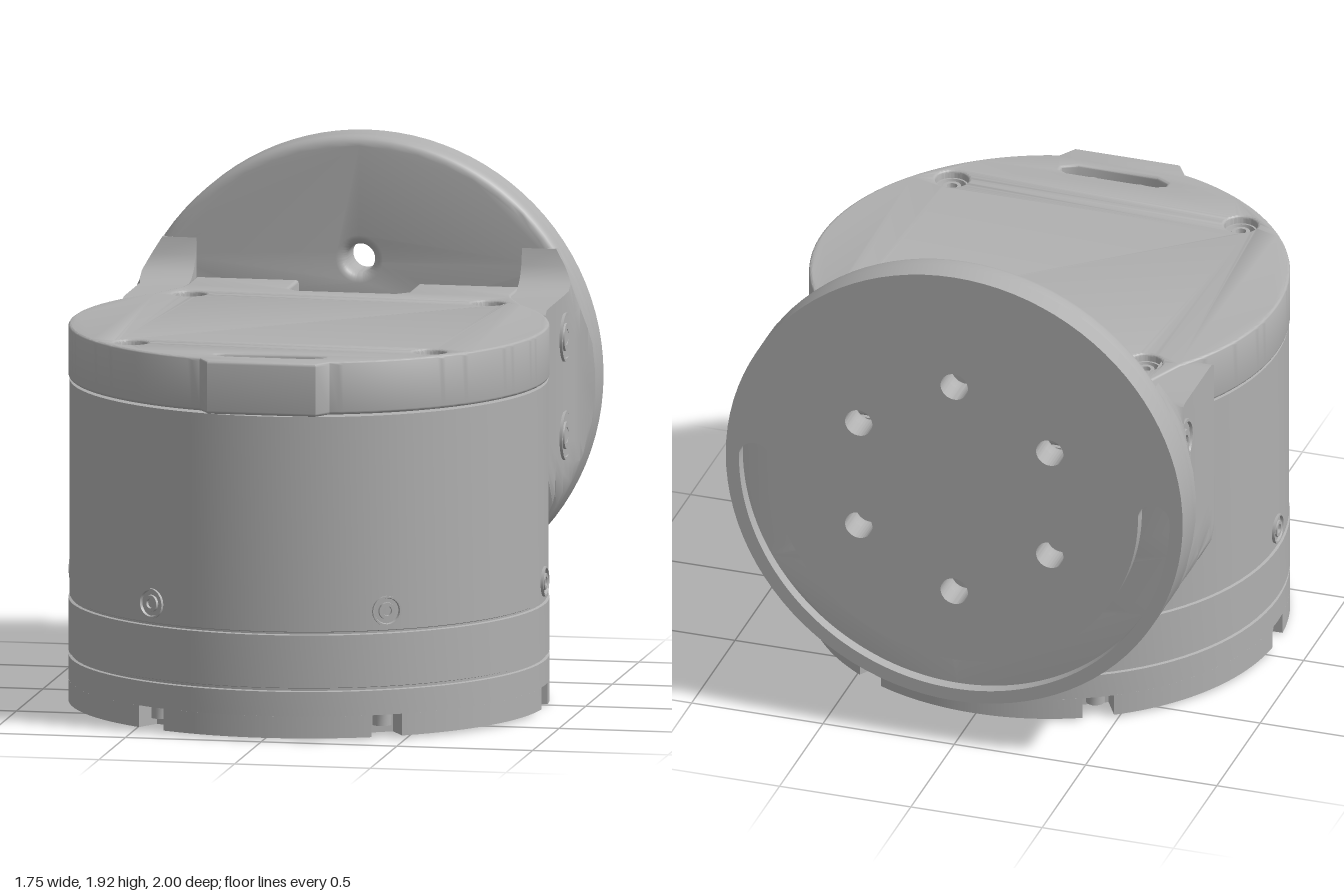
import * as THREE from 'three';
import { toCreasedNormals } from 'three/addons/utils/BufferGeometryUtils.js';

const R = 0.87;          // radius of drum and flange
const DRUM_Z = 0.1;      // drum axis
const HUB_Y = 1.05;      // flange axis
const UP = new THREE.Vector3(0, 1, 0);

export function createModel() {
  const grey = new THREE.MeshStandardMaterial({ color: 0xb0b0b0 });
  grey.name = 'satin grey';
  const model = new THREE.Group();
  model.name = 'swivelJoint';

  const add = (name, geometry, x = 0, y = 0, z = 0) => {
    const mesh = new THREE.Mesh(toCreasedNormals(geometry, 0.6), grey);
    mesh.name = name;
    mesh.position.set(x, y, z);
    model.add(mesh);
    return mesh;
  };
  const lathe = (pts, segments = 96) =>
    new THREE.LatheGeometry(pts.map(([r, y]) => new THREE.Vector2(r, y)), segments);
  const circle = (x, y, r) => new THREE.Path().absarc(x, y, r, 0, Math.PI * 2, true);
  // Extrusion filling 0..depth, with an optional bevel inside the outline
  const slab = (shape, depth, bevel = 0) => new THREE.ExtrudeGeometry(shape, {
    depth: depth - 2 * bevel, curveSegments: 48, bevelEnabled: bevel > 0,
    bevelThickness: bevel, bevelSize: bevel, bevelOffset: -bevel, bevelSegments: 4,
  }).translate(0, 0, bevel);
  // Socket screw seated in a round rim, facing along dir
  const screw = (name, r, x, y, z, dir = UP) => {
    const g = lathe([[r, -0.06], [r, 0], [r * 0.88, 0], [r * 0.76, -0.025], [r * 0.6, -0.025],
      [r * 0.55, 0], [r * 0.32, 0], [r * 0.26, -0.035], [0, -0.035]], 24);
    add(name, g, x, y, z).quaternion.setFromUnitVectors(UP, dir);
  };

  // Drum with seam grooves and an open recess underneath
  add('drum', lathe([
    [0, 0.42], [0.64, 0.42], [0.64, 0.17], [0.6, 0.14], [0.6, 0.09], [R, 0.09],
    [R, 0.18], [0.86, 0.183], [0.86, 0.192], [R, 0.195], [R, 0.387], [0.86, 0.39],
    [0.86, 0.397], [0.866, 0.4], [0.866, 1.187], [0.85, 1.19], [0, 1.19],
  ]), 0, 0, DRUM_Z);

  // Base ring with six edge notches and six bolt holes
  const ring = new THREE.Shape();
  const step = Math.PI / 3, half = 0.058, cut = Math.asin(half / R), inner = 0.77;
  for (let k = 0; k < 6; k++) {
    const a = k * step, b = a + step;
    ring.absarc(0, 0, R, a + cut, b - cut, false);
    for (const s of [-1, 1]) {
      ring.lineTo(inner * Math.cos(b) - s * half * Math.sin(b),
        inner * Math.sin(b) + s * half * Math.cos(b));
    }
    const m = a + step / 2;
    ring.holes.push(circle(0.73 * Math.cos(m), 0.73 * Math.sin(m), 0.032));
    add('notchBolt', new THREE.CylinderGeometry(0.035, 0.035, 0.05, 16),
      0.815 * Math.cos(a), 0.07, DRUM_Z + 0.815 * Math.sin(a));
  }
  ring.holes.push(circle(0, 0, 0.6));
  add('baseRing', slab(ring, 0.08).rotateX(-Math.PI / 2), 0, 0.01, DRUM_Z);
  const lip = new THREE.Shape().absarc(0, 0, 0.64, 0, Math.PI * 2, false);
  lip.holes.push(circle(0, 0, 0.6));
  add('baseLip', slab(lip, 0.02).rotateX(-Math.PI / 2), 0, 0, DRUM_Z);

  // Screws round the drum
  for (let k = 0; k < 4; k++) {
    const d = new THREE.Vector3(Math.cos(k * step), 0, Math.sin(k * step));
    screw('drumScrew', 0.055, 0.875 * d.x, 0.47, DRUM_Z + 0.875 * d.z, d);
  }

  // Lid: round plate with a front tab, a rear block and a rear notch
  const lid = new THREE.Shape();
  lid.moveTo(-0.2, -1).lineTo(0.2, -1).lineTo(0.24, -0.935);
  lid.absarc(0, -DRUM_Z, R, -1.255, 0.674, false);
  for (const [x, y] of [[0.61, 0.6], [0.6, 0.65], [0.6, 0.83], [0.22, 0.83], [0.22, 0.64],
    [0.18, 0.6], [-0.18, 0.6], [-0.22, 0.64], [-0.22, 0.83], [-0.6, 0.83], [-0.6, 0.65],
    [-0.61, 0.6]]) lid.lineTo(x, y);
  lid.absarc(0, -DRUM_Z, R, Math.PI - 0.674, Math.PI + 1.255, false);
  lid.lineTo(-0.24, -0.935);
  // Cable slot in the tab
  const slot = new THREE.Path();
  slot.moveTo(-0.15, -0.88).lineTo(-0.2, -0.85).lineTo(-0.2, -0.83).lineTo(-0.17, -0.815);
  slot.lineTo(0.17, -0.815).lineTo(0.2, -0.83).lineTo(0.2, -0.85).lineTo(0.15, -0.88);
  lid.holes.push(slot);
  for (const x of [-0.55, 0.55]) {
    for (const z of [-0.46, 0.64]) {
      lid.holes.push(circle(x, -z, 0.06));
      screw('lidScrew', 0.06, x, 1.36, z);
    }
    add('slotPin', new THREE.CylinderGeometry(0.03, 0.03, 0.1, 16), x * 0.16, 1.3, 0.85);
  }
  add('lid', slab(lid, 0.195, 0.012).rotateX(-Math.PI / 2), 0, 1.195, 0);
  add('slotFloor', new THREE.BoxGeometry(0.44, 0.06, 0.1), 0, 1.27, 0.85);
  add('hingeBlock', new THREE.BoxGeometry(1.2, 0.59, 0.53), 0, 0.895, -0.565);

  // Bracket: U-shaped sections [z, top, bottom, half width] lofted front to back
  const sections = [
    [-0.355, 1.34, 0.75, 0.77], [-0.365, 1.365, 0.69, 0.78], [-0.39, 1.38, 0.635, 0.78],
    [-0.42, 1.382, 0.595, 0.78], [-0.55, 1.382, 0.455, 0.78], [-0.7, 1.382, 0.29, 0.78],
    [-0.75, 1.392, 0.235, 0.79], [-0.79, 1.415, 0.19, 0.805], [-0.81, 1.435, 0.18, 0.82],
    [-0.83, 1.47, 0.18, 0.845], [-0.845, 1.53, 0.18, 0.87], [-0.89, 1.53, 0.18, 0.87],
  ];
  const N = 22;
  const rings = sections.map(([z, top, bottom, w]) => {
    const side = [];
    for (let i = 0; i <= N; i++) {
      const y = bottom + (top - bottom) * (i / N) ** 2;
      side.push([Math.min(w, Math.sqrt(Math.max(0, R * R - (y - HUB_Y) ** 2))), y]);
    }
    const left = side.map(([x, y]) => [-x, y]).reverse();
    return [...left, ...side, [0.6, top], [0.6, 1], [-0.6, 1], [-0.6, top]]
      .map(([x, y]) => new THREE.Vector3(x, y, z));
  });
  const count = rings[0].length, index = [];
  for (let i = 0; i < rings.length - 1; i++) {
    for (let j = 0; j < count; j++) {
      const a = i * count + j, b = i * count + (j + 1) % count;
      index.push(a, a + count, b, b, a + count, b + count);
    }
  }
  const flat = rings[0].map((p) => new THREE.Vector2(p.x, p.y));
  for (const t of THREE.ShapeUtils.triangulateShape(flat, [])) index.push(...t);
  const bracket = new THREE.BufferGeometry().setFromPoints(rings.flat());
  bracket.setIndex(index);
  add('bracket', bracket);

  // Screws in the bracket arms
  for (const s of [-1, 1]) {
    for (const y of [0.87, 1.23]) {
      screw('bracketScrew', 0.09, s * 0.79, y, -0.72, new THREE.Vector3(s, 0, 0));
    }
  }

  // Round mounting flange with six holes, and a crescent groove in its back face
  const disc = () => {
    const shape = new THREE.Shape().absarc(0, 0, R, 0, Math.PI * 2, false);
    for (let k = 0; k < 6; k++) {
      const a = Math.PI / 2 + k * step;
      shape.holes.push(circle(0.42 * Math.cos(a), 0.42 * Math.sin(a), 0.052));
    }
    return shape;
  };
  add('flange', slab(disc(), 0.11, 0.035), 0, HUB_Y, -0.955);
  const back = disc();
  const groove = new THREE.Path();
  groove.absarc(0, 0, 0.82, Math.PI, Math.PI * 2, false);
  groove.absarc(0.76, 0, 0.06, 0, Math.PI, false);
  groove.absarc(0, 0, 0.7, Math.PI * 2, Math.PI, true);
  groove.absarc(-0.76, 0, 0.06, 0, Math.PI, false);
  back.holes.push(groove);
  add('flangeBack', slab(back, 0.1), 0, HUB_Y, -1);

  return model;
}
